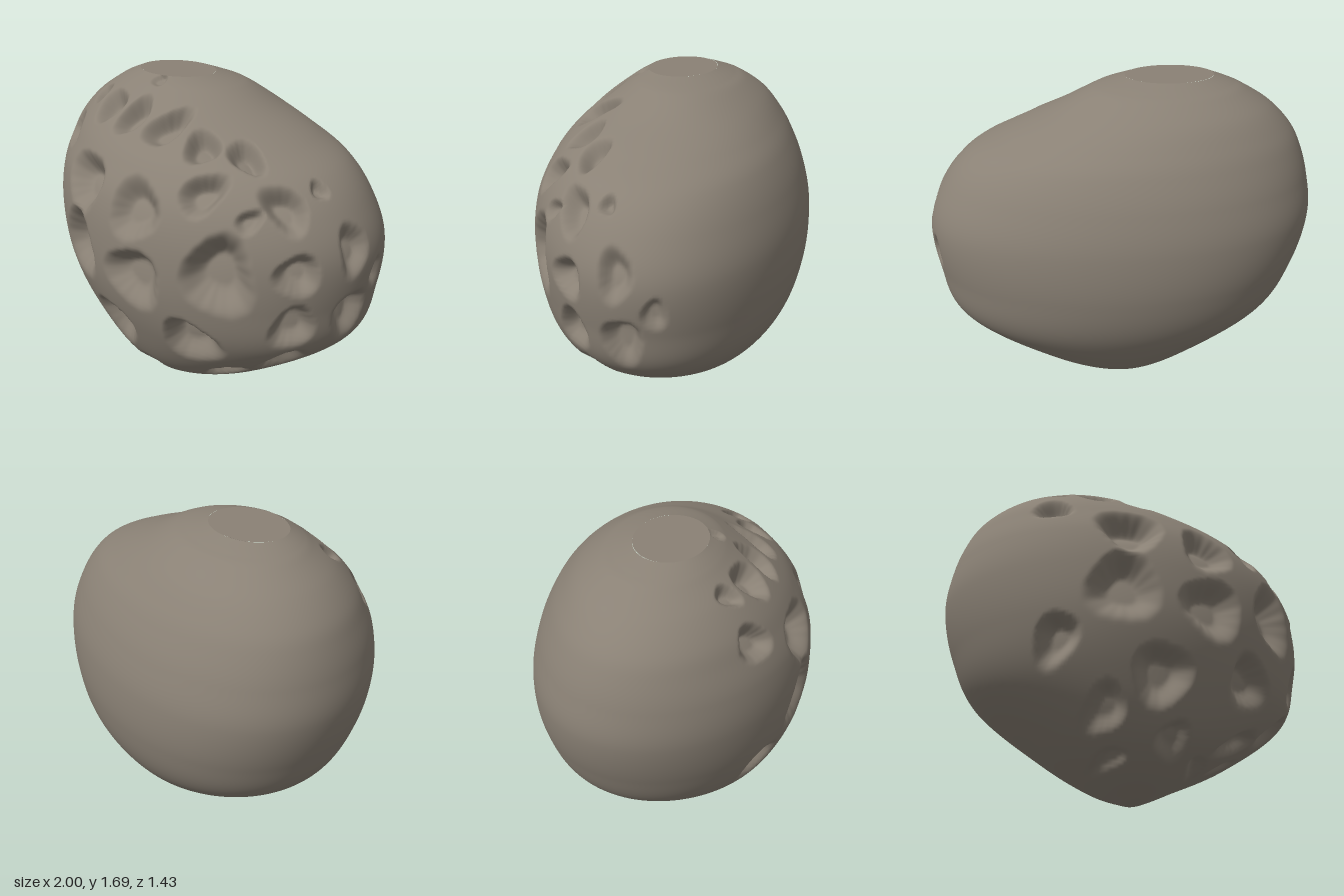
import * as THREE from 'three';

// Body sections: y, left x, right x, back z, front z
const SECTIONS = [
  [0, 0, 0, 0, 0], [0.02, -0.06, 0.08, -0.08, 0.1], [0.1, -0.24, 0.25, -0.27, 0.3],
  [0.25, -0.49, 0.55, -0.46, 0.5], [0.5, -0.81, 0.885, -0.64, 0.63], [0.75, -0.94, 0.97, -0.71, 0.705],
  [1, -1, 0.995, -0.71, 0.715], [1.2, -0.98, 0.92, -0.66, 0.68], [1.35, -0.935, 0.79, -0.59, 0.6],
  [1.45, -0.88, 0.59, -0.52, 0.52], [1.55, -0.78, 0.345, -0.43, 0.41], [1.63, -0.65, 0.18, -0.32, 0.3],
  [1.66, -0.58, 0.1, -0.25, 0.255], [1.69, -0.49, -0.03, -0.16, 0.2],
];

// Pits facing the front: x, y, half width, half height, depth
const FRONT_PITS = [
  [-0.23, 1.21, 0.18, 0.16, 0.1], [0.18, 1.17, 0.16, 0.16, 0.08], [-0.27, 0.87, 0.19, 0.2, 0.1],
  [0.19, 0.83, 0.19, 0.17, 0.09], [-0.05, 0.47, 0.16, 0.15, 0.09], [0.45, 0.53, 0.15, 0.14, 0.09],
  [0.62, 0.93, 0.16, 0.22, 0.11], [0.48, 1.29, 0.1, 0.1, 0.08], [-0.55, 0.62, 0.1, 0.13, 0.08],
  [-0.29, 0.32, 0.1, 0.11, 0.06], [0.06, 0.21, 0.1, 0.08, 0.06], [0.25, 0.15, 0.06, 0.035, 0.03],
  [-0.2, 0.14, 0.08, 0.04, 0.03], [-0.58, 1.37, 0.1, 0.09, 0.07], [-0.51, 1.56, 0.06, 0.045, 0.05],
  [-0.33, 1.54, 0.11, 0.08, 0.08], [-0.12, 1.53, 0.09, 0.09, 0.08], [0.1, 1.51, 0.1, 0.08, 0.08],
  [0.7, 1.2, 0.05, 0.06, 0.04],
];

// Pits facing the side: z, y, half width, half height, depth
const SIDE_PITS = [
  [0.24, 1.245, 0.09, 0.11, 0.08], [0.25, 0.955, 0.1, 0.11, 0.08], [0.24, 0.67, 0.1, 0.13, 0.07],
  [-0.02, 1.04, 0.09, 0.14, 0.06], [-0.04, 0.69, 0.11, 0.15, 0.07], [-0.2, 0.87, 0.06, 0.09, 0.04],
  [0.18, 0.42, 0.1, 0.1, 0.06], [0.32, 0.28, 0.08, 0.08, 0.06], [0.15, 0.21, 0.05, 0.05, 0.03],
  [0.06, 1.31, 0.045, 0.04, 0.04],
];

// Pits facing up: x, -z, half width, half length, depth
const TOP_PITS = [
  [0.33, -0.35, 0.1, 0.1, 0.08], [0.52, -0.24, 0.12, 0.08, 0.08], [-0.16, -0.22, 0.05, 0.05, 0.02],
];

const PIT_SETS = [
  { pits: FRONT_PITS, u: (p) => p.x, v: (p) => p.y, facing: (n) => n.z },
  { pits: SIDE_PITS, u: (p) => p.z, v: (p) => p.y, facing: (n) => n.x },
  { pits: TOP_PITS, u: (p) => p.x, v: (p) => -p.z, facing: (n) => n.y },
];

// Depth of one pit: irregular rim, steep wall, deepest towards the top
function pitDepth(u, v, [cu, cv, ru, rv, depth], seed) {
  const p = (u - cu) / ru, q = (v - cv) / rv;
  if (p * p + q * q > 1.5) return 0;
  const a = Math.atan2(q, p);
  const rim = 1 + 0.09 * Math.sin(3 * a + seed * 1.7) + 0.01 * Math.sin(14 * a + seed);
  const d = Math.hypot(p, q) / rim;
  return depth * (1 - THREE.MathUtils.smoothstep(d, 0.35, 1)) * (1 + 0.35 * q);
}

function buildBody() {
  const curve = (lo, hi) => new THREE.CatmullRomCurve3(
    SECTIONS.map((s) => new THREE.Vector3(s[lo], s[0], s[hi])), false, 'catmullrom', 0.5);
  const xCurve = curve(1, 2), zCurve = curve(3, 4);
  const rows = 195, cols = 340, positions = [], index = [];

  // Elliptical rings, sides swept back and front and back leaning to one side,
  // packed more densely on the pitted side
  for (let r = 0; r <= rows; r++) {
    const x = xCurve.getPoint(r / rows), z = zCurve.getPoint(r / rows);
    const halfX = (x.z - x.x) / 2, halfZ = (z.z - z.x) / 2;
    for (let c = 0; c < cols; c++) {
      const s = (c / cols * 2 - 1) * Math.PI;
      const a = 1.13 + s - 0.5 * Math.sin(s);
      const sweep = 0.065 * (halfX * Math.cos(a)) ** 2;
      const lean = 0.05 * (halfX * Math.sin(a)) ** 2;
      positions.push(
        (x.x + x.z) / 2 + Math.cos(a) * halfX - lean, x.y,
        (z.x + z.z) / 2 + Math.sin(a) * halfZ - sweep);
    }
  }
  for (let r = 0; r < rows; r++) {
    for (let c = 0; c < cols; c++) {
      const i = r * cols + c, j = r * cols + (c + 1) % cols;
      if (r > 0) index.push(i, i + cols, j);
      index.push(j, i + cols, j + cols);
    }
  }
  const geometry = new THREE.BufferGeometry();
  geometry.setAttribute('position', new THREE.Float32BufferAttribute(positions, 3));
  geometry.setIndex(index);
  geometry.computeVertexNormals();

  // Press the pits in along the surface normals
  const pos = geometry.attributes.position, nor = geometry.attributes.normal;
  const p = new THREE.Vector3(), n = new THREE.Vector3();
  for (let i = cols; i < rows * cols; i++) {
    p.fromBufferAttribute(pos, i);
    n.fromBufferAttribute(nor, i);
    let depth = 0;
    for (const { pits, u, v, facing } of PIT_SETS) {
      if (facing(n) < 0.05) continue;
      pits.forEach((pit, k) => { depth = Math.max(depth, pitDepth(u(p), v(p), pit, k)); });
    }
    p.addScaledVector(n, -depth);
    pos.setXYZ(i, p.x, p.y, p.z);
  }
  geometry.computeVertexNormals();
  return geometry;
}

export function createModel() {
  const group = new THREE.Group();
  group.name = 'pittedPod';
  const material = new THREE.MeshStandardMaterial({ color: 0x8a8175 });
  material.name = 'greyBrown';

  const body = new THREE.Mesh(buildBody(), material);
  body.name = 'body';

  // Flat cut on the crown
  const top = new THREE.Mesh(new THREE.CircleGeometry(1, 96).rotateX(-Math.PI / 2), material);
  top.name = 'flatTop';
  top.scale.set(0.23, 1, 0.18);
  top.position.set(-0.26, 1.69, 0.02);

  group.add(body, top);
  return group;
}
